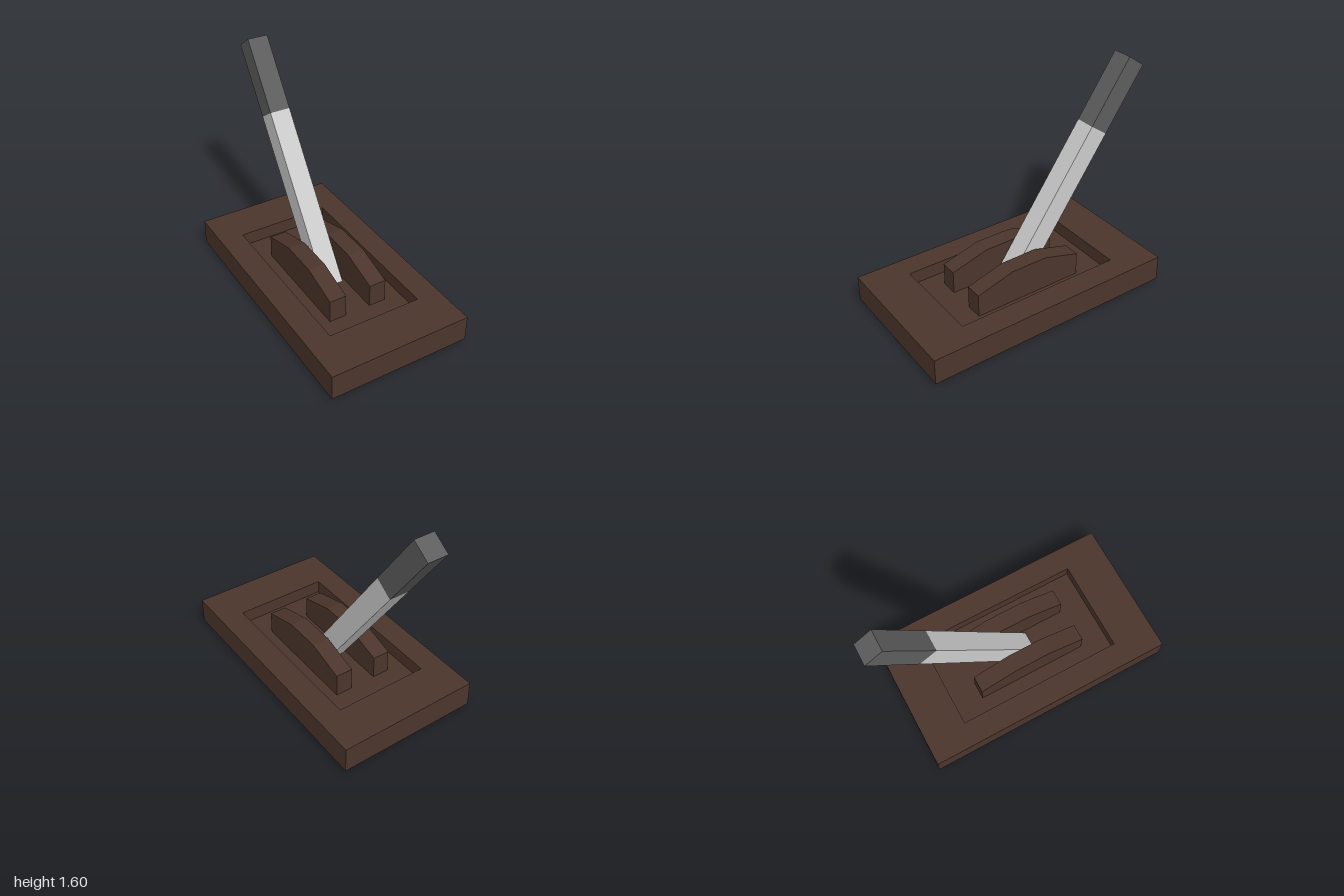
import * as THREE from 'three';

const paint = (color) => new THREE.MeshStandardMaterial({ color, flatShading: true });

function part(name, geometry, material, x = 0, y = 0, z = 0) {
  const mesh = new THREE.Mesh(geometry, material);
  mesh.name = name;
  mesh.position.set(x, y, z);
  return mesh;
}

const rectangle = (Type, x, z0, z1) => new Type([
  new THREE.Vector2(-x, -z1), new THREE.Vector2(x, -z1),
  new THREE.Vector2(x, -z0), new THREE.Vector2(-x, -z0),
]);

export function createModel() {
  const model = new THREE.Group();
  model.name = 'floorLever';
  const brown = paint(0x4b352b);
  const steel = paint(0xcccccc);
  const dark = paint(0x5d5d5d);

  // Base: a rectangular frame around a sunken floor
  const bottom = 0.02, top = 0.21, floor = 0.11;
  const outline = rectangle(THREE.Shape, 0.52, -0.87, 1);
  outline.holes.push(rectangle(THREE.Path, 0.345, -0.565, 0.685));
  const frame = new THREE.ExtrudeGeometry(outline, { depth: top - bottom, bevelEnabled: false });
  frame.rotateX(-Math.PI / 2);
  model.add(part('baseFrame', frame, brown, 0, bottom));
  model.add(part('recessFloor', new THREE.BoxGeometry(0.69, floor - bottom, 1.25), brown,
    0, (floor + bottom) / 2, 0.06));

  // Guide cheeks: side profile as (z, y), extruded across x
  const profile = new THREE.Shape([
    [-0.355, floor], [0.48, floor], [0.48, 0.28], [0.2, 0.36], [-0.075, 0.36], [-0.355, 0.28],
  ].map(([z, y]) => new THREE.Vector2(-z, y)));
  const cheek = new THREE.ExtrudeGeometry(profile, { depth: 0.125, bevelEnabled: false });
  cheek.rotateY(Math.PI / 2);
  model.add(part('leftCheek', cheek, brown, 0.095));
  model.add(part('rightCheek', cheek, brown, -0.22));

  // Lever leaning back, with a dark grip on its upper end
  const shaftLength = 1.308, gripLength = 0.533, width = 0.15, depth = 0.155;
  const lever = new THREE.Group();
  lever.name = 'lever';
  lever.add(part('shaft', new THREE.BoxGeometry(width, shaftLength, depth), steel, 0, shaftLength / 2));
  lever.add(part('grip', new THREE.BoxGeometry(width, gripLength, depth), dark,
    0, shaftLength + gripLength / 2));
  lever.position.set(0, 0.044, 0.117);
  lever.rotation.x = -0.607;
  model.add(lever);

  return model;
}
